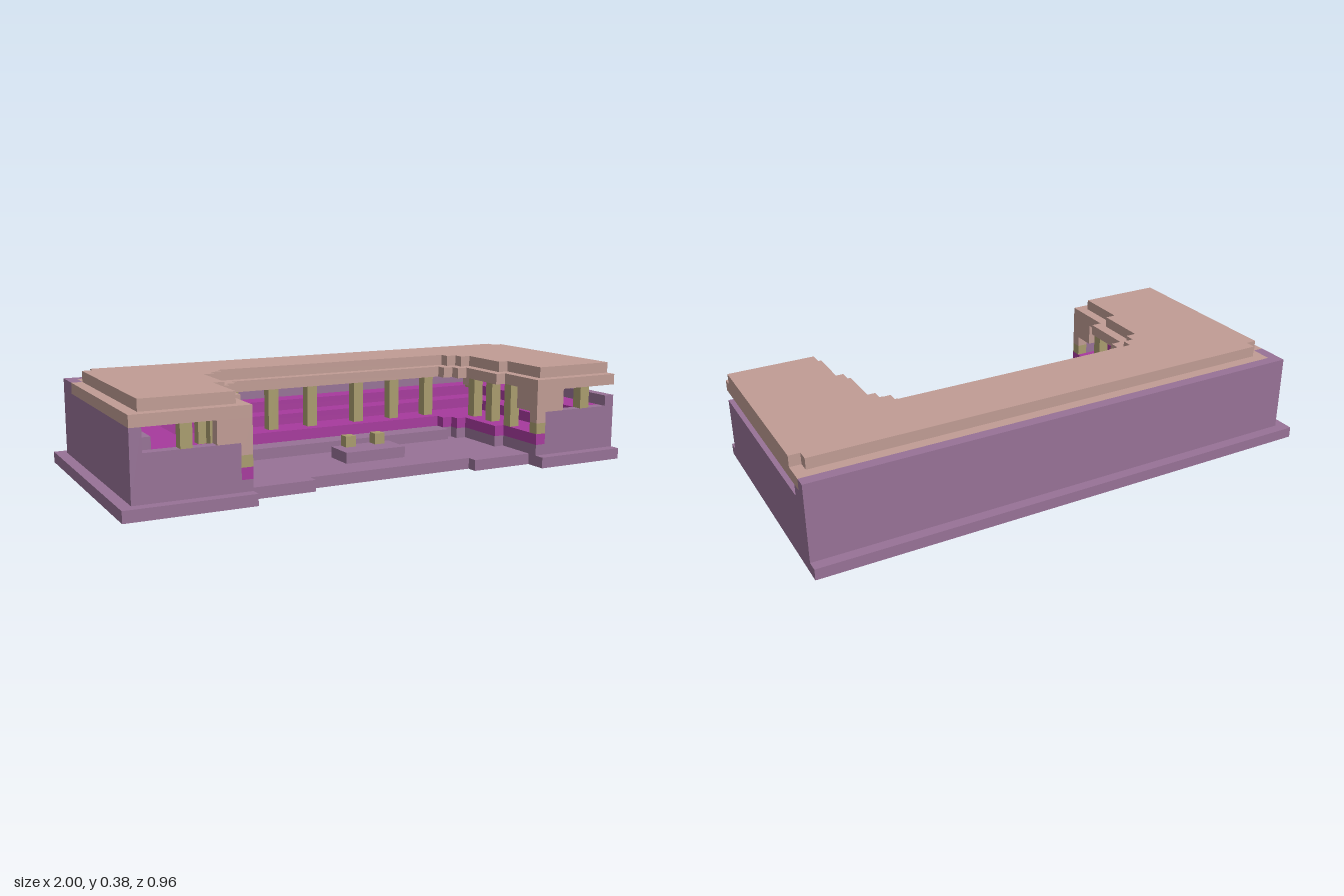
import * as THREE from 'three';

const U = 1 / 24; // one block
const MIRROR = 50; // the court is symmetrical about block line 25
const END = 48; // the right-hand end is cut flat here

export function createModel() {
  const model = new THREE.Group();
  model.name = 'steppedHall';
  const material = (name, color) => {
    const m = new THREE.MeshStandardMaterial({ color });
    m.name = name;
    return m;
  };
  const plum = material('plum stone', 0x977296);
  const rose = material('rose roof', 0xc09c94);
  const gold = material('gold posts', 0xa99c6e);
  const magenta = material('magenta seats', 0xa73a9d);

  const px = (x) => x * U - 1;
  const pz = (k) => (k - 11.5) * U;

  function box(name, mat, x0, x1, y0, y1, k0, k1) {
    const g = new THREE.BoxGeometry((x1 - x0) * U, (y1 - y0) * U, (k1 - k0) * U);
    const mesh = new THREE.Mesh(g, mat);
    mesh.position.set(px((x0 + x1) / 2), ((y0 + y1) / 2) * U, pz((k0 + k1) / 2));
    mesh.name = name;
    model.add(mesh);
  }
  function pair(name, mat, x0, x1, ...rest) {
    box(name + 'Right', mat, x0, x1, ...rest);
    box(name + 'Left', mat, MIRROR - x1, Math.min(END, MIRROR - x0), ...rest);
  }
  // flat slab from a plan outline of [x, k] corners
  function slab(name, mat, plan, y0, y1) {
    const shape = new THREE.Shape(plan.map(([x, k]) => new THREE.Vector2(px(x), -pz(k))));
    const g = new THREE.ExtrudeGeometry(shape, { depth: (y1 - y0) * U, bevelEnabled: false });
    g.rotateX(-Math.PI / 2);
    g.translate(0, y0 * U, 0);
    const mesh = new THREE.Mesh(g, mat);
    mesh.name = name;
    model.add(mesh);
  }
  // stepped edge of the court, from the front left-hand end round to the other
  const courtEdge = (half) => [
    ...half.map(([x, k]) => [MIRROR - x, k]),
    ...half.slice().reverse(),
  ];
  const innerEdge = courtEdge([[11, 22], [11, 17], [12, 17], [12, 12], [13, 12], [13, 11], [14, 11], [14, 10]]);
  const upperEdge = courtEdge([[10, 21], [10, 16], [11, 16], [11, 11], [12, 11], [12, 10], [13, 10], [13, 9]]);

  // base with the recessed front
  slab('base', plum, [[0, 0], [48, 0], [48, 23], [39, 23], [39, 21], [33, 21], [33, 20],
    [17, 20], [17, 21], [11, 21], [11, 23], [0, 23]], 0, 1);

  // outer walls
  box('backWall', plum, 1, END, 1, 8, 1, 2);
  box('sideWallCorner', plum, 1, 2, 1, 8, 2, 4);
  box('sideWall', plum, 1, 2, 1, 7, 4, 22);
  box('frontWallRight', plum, 2, 10, 1, 5, 21, 22);
  box('frontWallLeft', plum, 40, END, 1, 5, 21, 22);
  box('wallCornerLeft', plum, 47, END, 6, 7, 2, 3);
  box('wallCornerRight', plum, 2, 3, 6, 7, 2, 3);

  // raised bench around the walls
  box('backBench', plum, 2, END, 1, 6, 2, 3);
  box('sideBenchRight', plum, 2, 3, 1, 6, 3, 21);
  box('sideBenchLeft', plum, 47, END, 1, 6, 3, 21);
  box('sideBenchEnd', plum, 47, END, 5, 6, 21, 22);

  // seat tiers
  const tierPlan = [[10, 22], [10, 21], [3, 21], [3, 3], [47, 3], [47, 21], [40, 21], [40, 22], ...innerEdge];
  slab('seatFooting', plum, tierPlan, 1, 2);
  slab('lowerTier', magenta, tierPlan, 2, 3);
  for (const [y, w, back] of [[3, 8, 7], [4, 6, 5]]) {
    slab('tier' + y, magenta, [[3, 21], [3, 3], [47, 3], [47, 21], [MIRROR - w, 21],
      [MIRROR - w, back], [w, back], [w, 21]], y, y + 1);
  }

  // court step and small platform
  box('courtStep', plum, 14, 36, 1, 2, 10, 12);
  box('platform', plum, 22, 28, 1, 2, 14, 17);
  box('platformBlockRight', gold, 23, 24, 2, 3, 14, 15);
  box('platformBlockLeft', gold, 26, 27, 2, 3, 14, 15);

  // posts around the court, at the corners and on the front walls
  for (const x of [14, 18, 22]) pair('courtPost', gold, x, x + 1, 3, 7, 8, 9);
  for (const k of [11, 14, 17]) pair('wingPost', gold, 10, 11, 3, 7, k, k + 1);
  pair('frontPostFoot', gold, 10, 11, 3, 4, 21, 22);
  pair('frontPost', gold, 5, 6, 5, 7, 21, 22);
  pair('cornerPost', gold, 7, 8, 5, 7, 6, 7);

  // arched fascia hanging at the wing ends
  pair('fasciaLeg', rose, 10, 11, 4, 7, 21, 22);
  pair('fasciaFront', rose, 8, 10, 5, 7, 21, 22);
  pair('fasciaSide', rose, 10, 11, 5, 7, 19, 21);
  pair('fasciaBlock', rose, 10, 11, 6, 7, 10, 11);

  // two-layer roof
  slab('roofLower', rose, [[1, 22], [1, 4], [2, 4], [2, 2], [END, 2], [END, 22], ...innerEdge], 7, 8);
  slab('roofUpper', rose, [[2, 21], [2, 4], [3, 4], [3, 3], [47, 3], [47, 4], [END, 4], [END, 21], ...upperEdge], 8, 9);

  return model;
}
